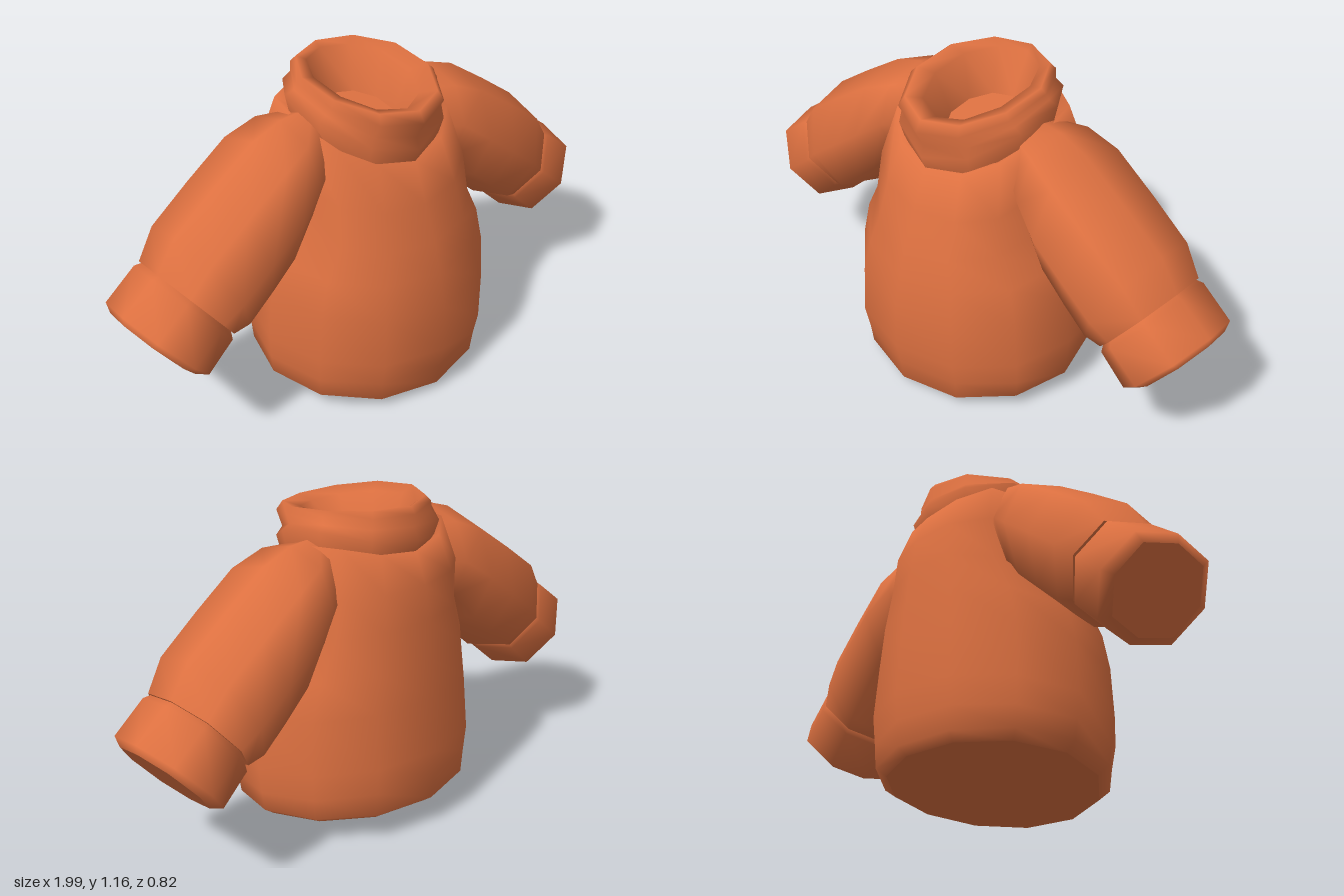
import * as THREE from 'three';

// Ring of corners between two opposite points a and b, bulging by half along the axis w.
// lift raises the two flanks; square below 1 makes the outline fuller.
function ring(sides, a, b, w, half, lift = 0, square = 1) {
  const mid = a.clone().add(b).multiplyScalar(0.5);
  const arm = a.clone().sub(mid);
  const widest = Math.sin((Math.round(sides / 4) / sides) * Math.PI * 2);
  return Array.from({ length: sides }, (_, i) => {
    const t = (i / sides) * Math.PI * 2;
    const c = Math.cos(t), s = Math.sin(t) / widest;
    const p = mid.clone()
      .addScaledVector(arm, Math.sign(c) * Math.abs(c) ** square)
      .addScaledVector(w, half * s);
    p.y += lift * s * s;
    return p;
  });
}

// Smooth skin through the rings, closed by a flat cap at each end
function loft(rings) {
  const sides = rings[0].length;
  const pos = [], index = [];
  const add = (p) => pos.push(p.x, p.y, p.z) / 3 - 1;
  rings.forEach((r) => r.forEach(add));
  for (let i = 0; i < rings.length - 1; i++) {
    for (let j = 0; j < sides; j++) {
      const k = (j + 1) % sides;
      const a = i * sides + j, b = i * sides + k, c = a + sides, d = b + sides;
      index.push(a, b, c, b, d, c);
    }
  }
  [rings[0], rings[rings.length - 1]].forEach((r, end) => {
    const centre = r.reduce((s, p) => s.add(p), new THREE.Vector3()).divideScalar(sides);
    const c = add(centre);
    const ids = r.map(add);
    ids.forEach((id, j) => {
      const next = ids[(j + 1) % sides];
      if (end) index.push(id, next, c);
      else index.push(next, id, c);
    });
  });
  const geo = new THREE.BufferGeometry();
  geo.setAttribute('position', new THREE.Float32BufferAttribute(pos, 3));
  geo.setIndex(index);
  geo.computeVertexNormals();
  return geo;
}

// Rows: front z, front y, back z, back y, half width, lift of the flanks, squareness
const upright = (sides, rows) => loft(rows.map(([zf, yf, zb, yb, half, lift, square]) => ring(
  sides, new THREE.Vector3(0, yf, zf), new THREE.Vector3(0, yb, zb),
  new THREE.Vector3(1, 0, 0), half, lift, square)));

// Rows: top x, top y, bottom x, bottom y, half depth
const sideways = (rows, side) => loft(rows.map(([xt, yt, xb, yb, half]) => ring(
  8, new THREE.Vector3(side * xt, yt, -0.05), new THREE.Vector3(side * xb, yb, -0.05),
  new THREE.Vector3(0, 0, side), half, 0, 0.75)));

export function createModel() {
  const model = new THREE.Group();
  model.name = 'sweater';
  const wool = new THREE.MeshStandardMaterial({ color: 0xdc7040 });
  wool.name = 'orange wool';
  const part = (name, geo) => {
    const mesh = new THREE.Mesh(geo, wool);
    mesh.name = name;
    model.add(mesh);
  };

  // Round body, hem lower at the front, full shoulders, neck edge tucked in
  part('body', upright(12, [
    [0.345, 0.0, -0.36, 0.083, 0.4, 0.012],
    [0.38, 0.03, -0.395, 0.11, 0.443, 0.015],
    [0.39, 0.11, -0.4, 0.2, 0.452, 0],
    [0.41, 0.2, -0.41, 0.3, 0.46, 0],
    [0.405, 0.38, -0.395, 0.5, 0.445, 0],
    [0.377, 0.51, -0.382, 0.64, 0.412, 0, 0.9],
    [0.35, 0.62, -0.365, 0.78, 0.345, 0, 0.75],
    [0.3, 0.75, -0.345, 0.9, 0.33, 0.03, 0.62],
    [0.245, 0.895, -0.3, 1.01, 0.285, 0.085, 0.7],
    [0.1, 0.85, -0.17, 0.92, 0.11, 0],
  ]));

  // Folded collar dipping at the front, over the rim and down to the inner floor
  part('collar', upright(10, [
    [0.24, 0.885, -0.29, 1.0, 0.25, 0.05],
    [0.262, 0.945, -0.31, 1.05, 0.266, 0.08],
    [0.247, 0.985, -0.287, 1.09, 0.235, 0.055],
    [0.283, 1.05, -0.292, 1.135, 0.23, 0.028],
    [0.26, 1.09, -0.272, 1.16, 0.21, 0.014],
    [0.2, 1.075, -0.25, 1.14, 0.155, 0.014],
    [0.11, 0.94, -0.18, 0.99, 0.115, 0],
  ]));

  for (const side of [1, -1]) {
    const label = side > 0 ? 'left' : 'right';
    // Sleeve from inside the shoulder
    part(label + 'Sleeve', sideways([
      [0.2, 1.055, 0.24, 0.72, 0.12],
      [0.335, 1.05, 0.33, 0.69, 0.2],
      [0.45, 1.01, 0.42, 0.575, 0.235],
      [0.62, 0.895, 0.51, 0.49, 0.237],
      [0.78, 0.78, 0.6, 0.41, 0.235],
      [0.855, 0.67, 0.652, 0.398, 0.21],
    ], side));
    // Cuff
    part(label + 'Cuff', sideways([
      [0.84, 0.665, 0.66, 0.41, 0.195],
      [0.875, 0.66, 0.66, 0.38, 0.215],
      [0.997, 0.568, 0.76, 0.287, 0.215],
      [0.995, 0.535, 0.8, 0.295, 0.175],
    ], side));
  }
  return model;
}
